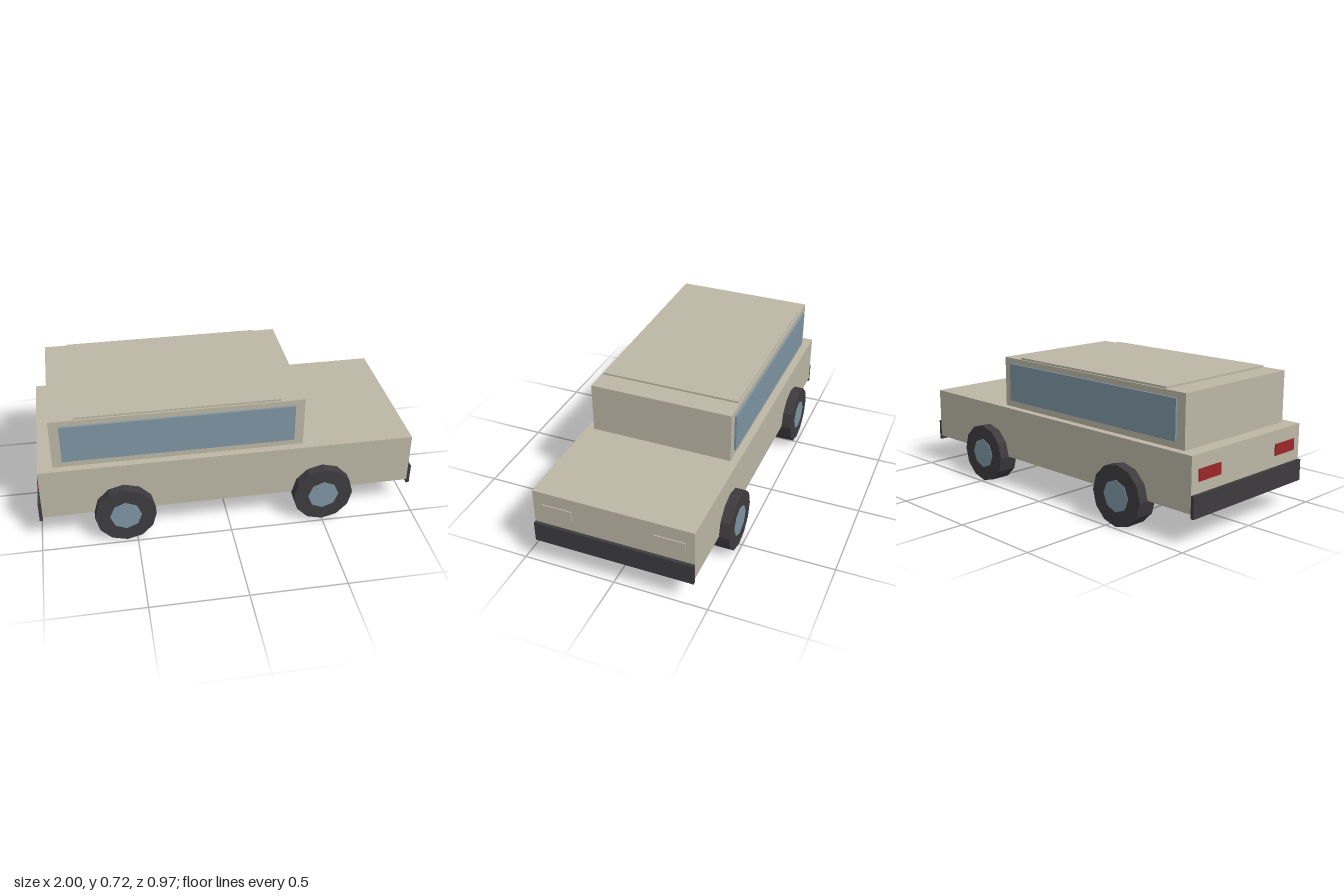
import * as THREE from 'three';

export function createModel() {
  const car = new THREE.Group();
  car.name = 'car';

  const material = (name, color) => {
    const m = new THREE.MeshStandardMaterial({ color });
    m.name = name;
    return m;
  };
  const paint = material('beige paint', 0xbbb6a5);
  const glass = material('blue grey glass', 0x7e94a2);
  const rubber = material('dark rubber', 0x3d3b3e);
  const red = material('red lamp', 0x9c2629);

  // Box given by its extents on each axis
  const box = (name, mat, [x0, x1], [y0, y1], [z0, z1]) => {
    const mesh = new THREE.Mesh(new THREE.BoxGeometry(x1 - x0, y1 - y0, z1 - z0), mat);
    mesh.position.set((x0 + x1) / 2, (y0 + y1) / 2, (z0 + z1) / 2);
    mesh.name = name;
    car.add(mesh);
  };

  // Body, cabin and raised roof panel
  box('body', paint, [-0.983, 0.983], [0.164, 0.444], [-0.427, 0.427]);
  box('cabin', paint, [-0.905, 0.397], [0.444, 0.716], [-0.386, 0.386]);
  box('roofPanel', paint, [-0.78, 0.273], [0.716, 0.726], [-0.377, 0.377]);

  // Bumpers across both ends
  box('frontBumper', rubber, [0.983, 1], [0.142, 0.254], [-0.427, 0.427]);
  box('rearBumper', rubber, [-1, -0.983], [0.142, 0.254], [-0.427, 0.427]);

  // Wheel: twelve-sided tyre with an eight-sided hub showing outside
  const tyreGeometry = new THREE.CylinderGeometry(0.16, 0.16, 0.11, 12).rotateX(Math.PI / 2).toNonIndexed();
  const hubGeometry = new THREE.CylinderGeometry(0.083, 0.083, 0.112, 8).rotateX(Math.PI / 2).toNonIndexed();
  tyreGeometry.computeVertexNormals();
  hubGeometry.computeVertexNormals();

  for (const side of [1, -1]) {
    const label = side > 0 ? 'left' : 'right';
    const span = (a, b) => (side > 0 ? [a, b] : [-b, -a]);

    box(label + 'Window', glass, [-0.855, 0.347], [0.48, 0.686], span(0.386, 0.397));
    box(label + 'Headlight', paint, [0.983, 0.989], [0.313, 0.373], span(0.217, 0.378));
    box(label + 'TailLight', red, [-0.989, -0.983], [0.313, 0.373], span(0.217, 0.378));

    for (const [end, x] of [['Front', 0.5], ['Rear', -0.555]]) {
      const wheel = new THREE.Group();
      wheel.name = label + end + 'Wheel';
      const tyre = new THREE.Mesh(tyreGeometry, rubber);
      tyre.name = 'tyre';
      const hub = new THREE.Mesh(hubGeometry, glass);
      hub.name = 'hub';
      hub.position.z = side * 0.002;
      wheel.add(tyre, hub);
      wheel.position.set(x, 0.163, side * 0.427);
      car.add(wheel);
    }
  }

  // Rest the tyres on the ground
  car.position.y = -0.003;
  return car;
}
